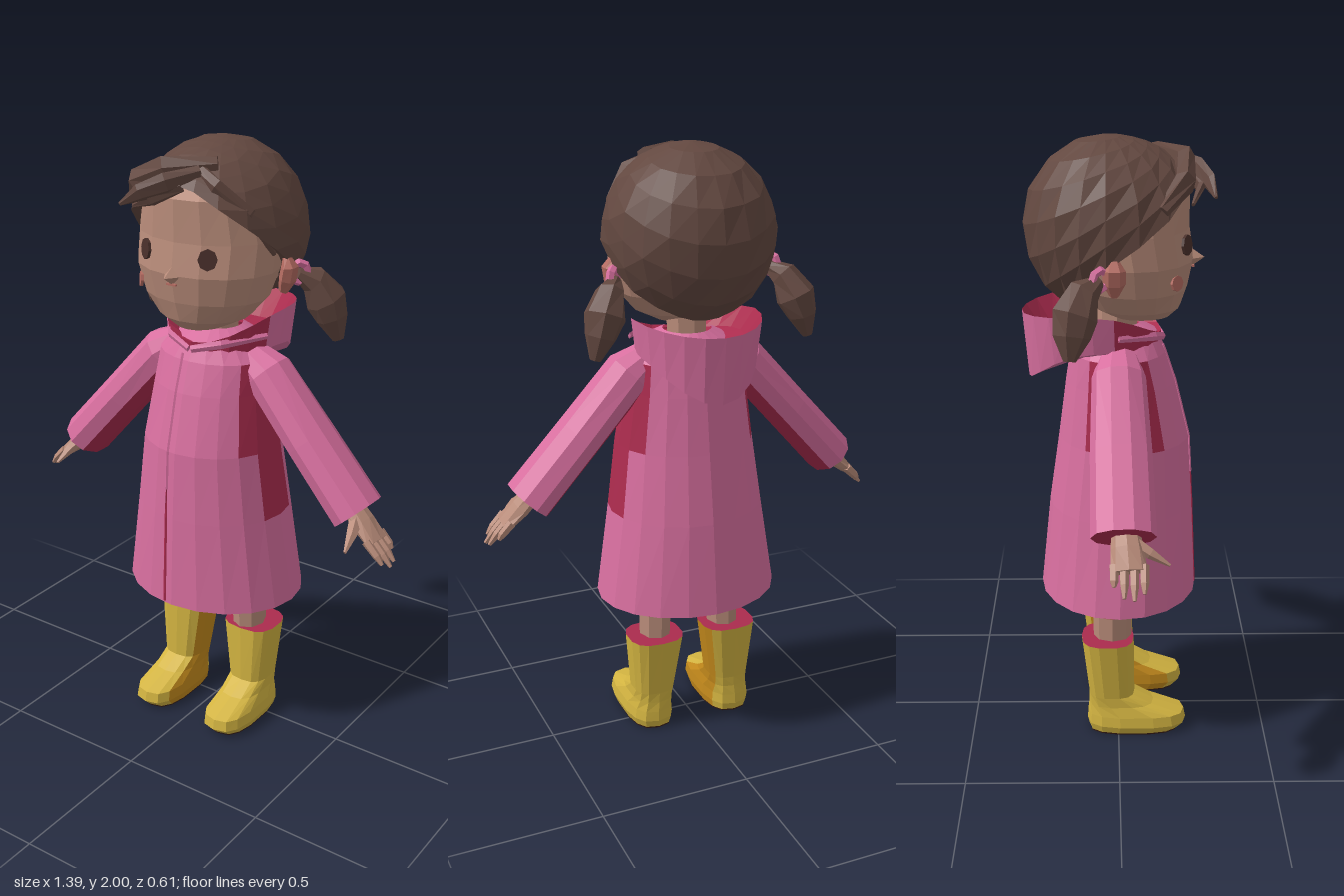
import * as THREE from 'three';

const paint = (name, color, side = THREE.FrontSide) => {
  const m = new THREE.MeshStandardMaterial({ color, flatShading: true, side });
  m.name = name;
  return m;
};
const V = (x, y, z) => new THREE.Vector3(x, y, z);

// Skin over a stack of rings; pick(row, angle) gives the material slot, caps give a slot or null
function loft(rings, { pick = () => 0, start = null, end = null } = {}) {
  const buckets = [];
  const tri = (slot, ...pts) => {
    buckets[slot] ??= [];
    pts.forEach((p) => buckets[slot].push(p.x, p.y, p.z));
  };
  const n = rings[0].length;
  for (let i = 0; i < rings.length - 1; i++) {
    for (let j = 0; j < n; j++) {
      const k = (j + 1) % n;
      const slot = pick(i, ((j + 0.5) / n) * Math.PI * 2);
      tri(slot, rings[i][j], rings[i][k], rings[i + 1][k]);
      tri(slot, rings[i][j], rings[i + 1][k], rings[i + 1][j]);
    }
  }
  const cap = (ring, slot, flip) => {
    const c = ring.reduce((s, p) => s.add(p), V(0, 0, 0)).divideScalar(n);
    ring.forEach((p, j) => {
      const q = ring[(j + 1) % n];
      if (flip) tri(slot, c, q, p);
      else tri(slot, c, p, q);
    });
  };
  if (start !== null) cap(rings[0], start, true);
  if (end !== null) cap(rings[rings.length - 1], end, false);
  const geo = new THREE.BufferGeometry();
  let at = 0;
  buckets.forEach((b, slot) => {
    geo.addGroup(at, b.length / 3, slot);
    at += b.length / 3;
  });
  geo.setAttribute('position', new THREE.Float32BufferAttribute(buckets.flat(), 3));
  geo.computeVertexNormals();
  return geo;
}

// Ring around the y axis, starting at the front; fn(angle) gives the point
const ringOf = (n, fn) => Array.from({ length: n }, (_, j) => fn((j / n) * Math.PI * 2));
// Horizontal oval from [y, halfWidth, zFront, zBack, centreX]; power < 1 makes it boxy
const oval = (n, power = 1) => ([y, rx, zf, zb, cx = 0]) => ringOf(n, (a) => {
  const bend = (v) => Math.sign(v) * Math.abs(v) ** power;
  return V(cx + rx * bend(Math.sin(a)), y, (zf + zb) / 2 + ((zf - zb) / 2) * bend(Math.cos(a)));
});

// Tapered limb through [x, y, z, radius toward ref, other radius]
function limb(points, sides, opts = { start: 0, end: 0 }, ref = V(0, 0, 1)) {
  const ps = points.map((p) => V(p[0], p[1], p[2]));
  const rings = ps.map((p, i) => {
    const t = ps[Math.min(i + 1, ps.length - 1)].clone().sub(ps[Math.max(i - 1, 0)]).normalize();
    const s = ref.clone().addScaledVector(t, -ref.dot(t)).normalize();
    const n = t.clone().cross(s);
    return ringOf(sides, (a) => p.clone()
      .addScaledVector(s, points[i][3] * Math.cos(a))
      .addScaledVector(n, points[i][4] * Math.sin(a)));
  });
  return loft(rings, opts);
}

// Mirror across x, keeping faces outward
function mirrored(geo) {
  const g = geo.clone();
  const p = g.attributes.position;
  for (let i = 0; i < p.count; i += 3) {
    const c = [0, 2, 1].map((k) => V(-p.getX(i + k), p.getY(i + k), p.getZ(i + k)));
    c.forEach((v, k) => p.setXYZ(i + k, v.x, v.y, v.z));
  }
  g.computeVertexNormals();
  return g;
}

export function createModel() {
  const skin = paint('skin', 0xb98c7a);
  const flushed = paint('flushedSkin', 0xb56c62);
  const hair = paint('hairBrown', 0x634840, THREE.DoubleSide);
  const pink = paint('coatPink', 0xd86f9f);
  const red = paint('liningRed', 0xab2c4e, THREE.DoubleSide);
  const yellow = paint('bootYellow', 0xd3b441);
  const orange = paint('bootOrange', 0xc48a1c);
  const sole = paint('soleBrown', 0x3c2019);
  const dark = paint('eyeBrown', 0x4a302b);

  const model = new THREE.Group();
  const add = (name, geo, mat) => {
    const mesh = new THREE.Mesh(geo, mat);
    mesh.name = name;
    model.add(mesh);
    return mesh;
  };
  const pair = (name, geo, mat) => {
    add(name + 'Left', geo, mat);
    add(name + 'Right', mirrored(geo), mat);
  };

  // Coat body, shaded red under the arms, and its lining
  const coat = [[0.49, 0.31, 0.265, -0.26], [0.8, 0.263, 0.25, -0.228], [1.03, 0.232, 0.235, -0.195],
    [1.22, 0.205, 0.188, -0.17], [1.32, 0.195, 0.155, -0.155], [1.38, 0.14, 0.125, -0.13], [1.41, 0.08, 0.07, -0.09]];
  const underArm = (i, a) => {
    const limit = [2, 0.9, 0.75, 0.75][i] ?? 2;
    return Math.abs(Math.sin(a)) > limit ? 1 : 0;
  };
  add('coatBody', loft(coat.map(oval(20)), { pick: underArm }), [pink, red]);
  const inner = coat.slice(0, 6).map(([y, r, f, b], i) => (i ? [y, r - 0.012, f - 0.012, b + 0.012] : [y, r, f, b]));
  add('coatLining', loft(inner.map(oval(20))), red);
  add('coatOpening', limb([[-0.03, 0.495, 0.261, 0.003, 0.006], [-0.03, 0.8, 0.247, 0.003, 0.005],
    [-0.03, 0.9, 0.241, 0.003, 0.002]], 4), red);
  add('coatSeam', limb([[-0.03, 0.9, 0.241, 0.004, 0.006], [-0.03, 1.03, 0.233, 0.004, 0.006],
    [-0.03, 1.22, 0.186, 0.004, 0.006], [-0.03, 1.34, 0.145, 0.004, 0.006]], 4), pink);

  // Lowered hood: outer skin and red inside
  const hoodRing = (rx, zf, zb, front, side, back) => ringOf(20, (a) => {
    const c = Math.cos(a);
    const y = side + (c > 0 ? (front - side) * c * c : (back - side) * c * c);
    return V(rx * Math.sin(a), y, (zf + zb) / 2 + ((zf - zb) / 2) * c);
  });
  const rim = hoodRing(0.205, 0.14, -0.31, 1.38, 1.47, 1.45);
  add('hood', loft([hoodRing(0.13, 0.11, -0.14, 1.34, 1.33, 1.3), hoodRing(0.19, 0.135, -0.29, 1.345, 1.35, 1.23), rim],
    { pick: (i, a) => (Math.cos(a) > 0.3 ? 1 : 0) }), [pink, red]);
  add('hoodLining', loft([rim, hoodRing(0.16, 0.1, -0.25, 1.37, 1.4, 1.36), hoodRing(0.06, 0.05, -0.09, 1.37, 1.37, 1.37)]), red);
  pair('collarEdge', limb([[0.005, 1.36, 0.148, 0.006, 0.012], [0.1, 1.385, 0.118, 0.006, 0.014], [0.195, 1.4, 0.0, 0.005, 0.01]], 4), pink);

  // Sleeves with red undersides and cuff openings
  pair('sleeve', limb([[0.13, 1.33, 0, 0.06, 0.05], [0.2, 1.28, 0, 0.085, 0.078], [0.37, 1.09, 0.005, 0.096, 0.078],
    [0.55, 0.89, 0.01, 0.1, 0.08]], 10, { end: 1, pick: (i, a) => (Math.sin(a) > 0.75 ? 1 : 0) }), [pink, red]);

  // Hands
  pair('palm', limb([[0.52, 0.92, 0.015, 0.04, 0.03], [0.575, 0.865, 0.02, 0.05, 0.03], [0.63, 0.815, 0.025, 0.055, 0.02]], 8), skin);
  for (let f = 0; f < 4; f++) {
    const z = -0.02 + f * 0.03;
    const reach = [0.03, 0.055, 0.06, 0.045][f];
    pair('finger' + (f + 1), limb([[0.615, 0.83, z, 0.015, 0.016], [0.64 + reach / 3, 0.805 - reach / 3, z, 0.014, 0.013],
      [0.63 + reach, 0.81 - reach, z, 0.006, 0.006]], 5), skin);
  }
  pair('thumb', limb([[0.56, 0.88, 0.04, 0.022, 0.022], [0.575, 0.85, 0.09, 0.018, 0.018], [0.585, 0.815, 0.148, 0.005, 0.005]],
    5, undefined, V(1, 0, 0)), skin);

  // Legs
  pair('lowerLeg', limb([[0.13, 0.2, -0.02, 0.06, 0.05], [0.125, 0.42, -0.02, 0.066, 0.056]], 8), skin);
  pair('upperLeg', limb([[0.125, 0.42, -0.02, 0.066, 0.056], [0.122, 0.56, -0.02, 0.07, 0.06], [0.12, 0.62, -0.02, 0.04, 0.035]], 8), flushed);

  // Boots: orange on the inner side, dark sole, red inside
  const boot = [[0.004, 0.075, 0.205, -0.1, 0.145], [0.03, 0.082, 0.232, -0.106, 0.147], [0.065, 0.078, 0.225, -0.104, 0.146],
    [0.1, 0.07, 0.12, -0.1, 0.143], [0.135, 0.07, 0.055, -0.1, 0.141], [0.34, 0.095, 0.052, -0.125, 0.135]];
  pair('boot', loft(boot.map(oval(14, 0.72)),
    { start: 2, end: 3, pick: (i, a) => (Math.sin(a) < -0.72 ? 1 : 0) }), [yellow, orange, sole, red]);
  pair('bootSole', loft([[0, 0.075, 0.205, -0.1, 0.145], [0.006, 0.077, 0.208, -0.102, 0.145]].map(oval(14, 0.72)), { start: 0 }), sole);

  // Head and neck
  add('neck', limb([[0, 1.33, -0.01, 0.065, 0.065], [0, 1.5, 0, 0.07, 0.07]], 8), skin);
  const head = [[1.43, 0.08, 0.165, -0.02], [1.465, 0.15, 0.2, -0.08], [1.53, 0.208, 0.222, -0.12], [1.62, 0.238, 0.24, -0.15],
    [1.72, 0.24, 0.225, -0.17], [1.85, 0.215, 0.225, -0.15], [1.93, 0.14, 0.12, -0.1]];
  add('head', loft(head.map(oval(16)), { start: 0, end: 0 }), skin);
  const nose = add('nose', new THREE.ConeGeometry(0.035, 0.05, 4), skin);
  nose.rotation.x = Math.PI / 2;
  nose.position.set(0, 1.618, 0.25);
  add('noseShade', new THREE.BoxGeometry(0.035, 0.006, 0.008), flushed).position.set(0, 1.592, 0.238);
  pair('ear', limb([[0.24, 1.55, -0.015, 0.015, 0.015], [0.255, 1.59, -0.015, 0.035, 0.025], [0.262, 1.63, -0.015, 0.035, 0.025],
    [0.25, 1.66, -0.015, 0.015, 0.012]], 6), flushed);

  // Face paint
  const patch = (name, r, x, y, z, turn, mat, tall = 1) => {
    const geo = new THREE.CylinderGeometry(r, r, 0.009, 8).rotateX(Math.PI / 2).scale(1, tall, 1);
    const mesh = add(name, geo, mat);
    mesh.position.set(x, y, z);
    mesh.rotation.set(-0.08, turn, 0, 'YXZ');
  };
  for (const s of [1, -1]) patch('eye', 0.03, s * 0.115, 1.68, 0.211, s * 0.52, dark, 1.1);
  patch('blush', 0.025, -0.161, 1.57, 0.179, -0.8, flushed);

  // Hair cap: an egg cut off along a hairline that drops from forehead to nape
  const rows = 7;
  const cap = Array.from({ length: rows + 2 }, (_, i) => ringOf(20, (a) => {
    const line = 1.68 + 0.215 * Math.cos(a) - 0.05 * Math.sin(a) ** 2;
    const polar = Math.max(0.03, Math.acos((line - 1.72) / 0.285) * (1 - Math.max(i - 1, 0) / rows));
    const r = Math.sin(polar) * (i ? 1 + 0.012 * Math.sin(a * 9 + i * 2.3) : 0.78);
    return V(0.275 * r * Math.sin(a), 1.72 + 0.283 * Math.cos(polar), -0.04 + (Math.cos(a) > 0 ? 0.33 : 0.262) * r * Math.cos(a));
  }));
  add('hairCap', loft(cap, { end: 0 }), hair);

  // Swept fringe and side locks
  const up = V(0, 1, 0.3);
  const locks = [
    [[0.09, 1.95, 0.12, 0.02, 0.03], [-0.04, 1.925, 0.2, 0.05, 0.035], [-0.14, 1.875, 0.2, 0.05, 0.035], [-0.215, 1.8, 0.13, 0.02, 0.02]],
    [[0.06, 1.93, 0.17, 0.02, 0.02], [-0.01, 1.9, 0.245, 0.035, 0.018], [-0.08, 1.87, 0.28, 0.028, 0.014], [-0.145, 1.83, 0.295, 0.006, 0.006]],
    [[0.02, 1.89, 0.21, 0.02, 0.02], [-0.06, 1.85, 0.255, 0.024, 0.015], [-0.15, 1.81, 0.225, 0.006, 0.006]],
    [[0.02, 1.945, 0.15, 0.02, 0.02], [0.12, 1.89, 0.175, 0.035, 0.02], [0.195, 1.81, 0.125, 0.03, 0.02], [0.24, 1.68, 0.04, 0.008, 0.01]],
  ];
  locks.forEach((pts) => add('fringeLock', limb(pts, 6, undefined, up), hair));

  // Pigtails and their ties
  pair('pigtail', limb([[0.262, 1.6, -0.06, 0.02, 0.02], [0.295, 1.575, -0.105, 0.05, 0.045], [0.325, 1.51, -0.135, 0.072, 0.065],
    [0.345, 1.45, -0.145, 0.06, 0.048], [0.365, 1.38, -0.15, 0.02, 0.018]], 7), hair);
  pair('hairTie', new THREE.TorusGeometry(0.03, 0.014, 5, 8).rotateY(0.9).translate(0.268, 1.605, -0.058).toNonIndexed(), pink);

  return model;
}
